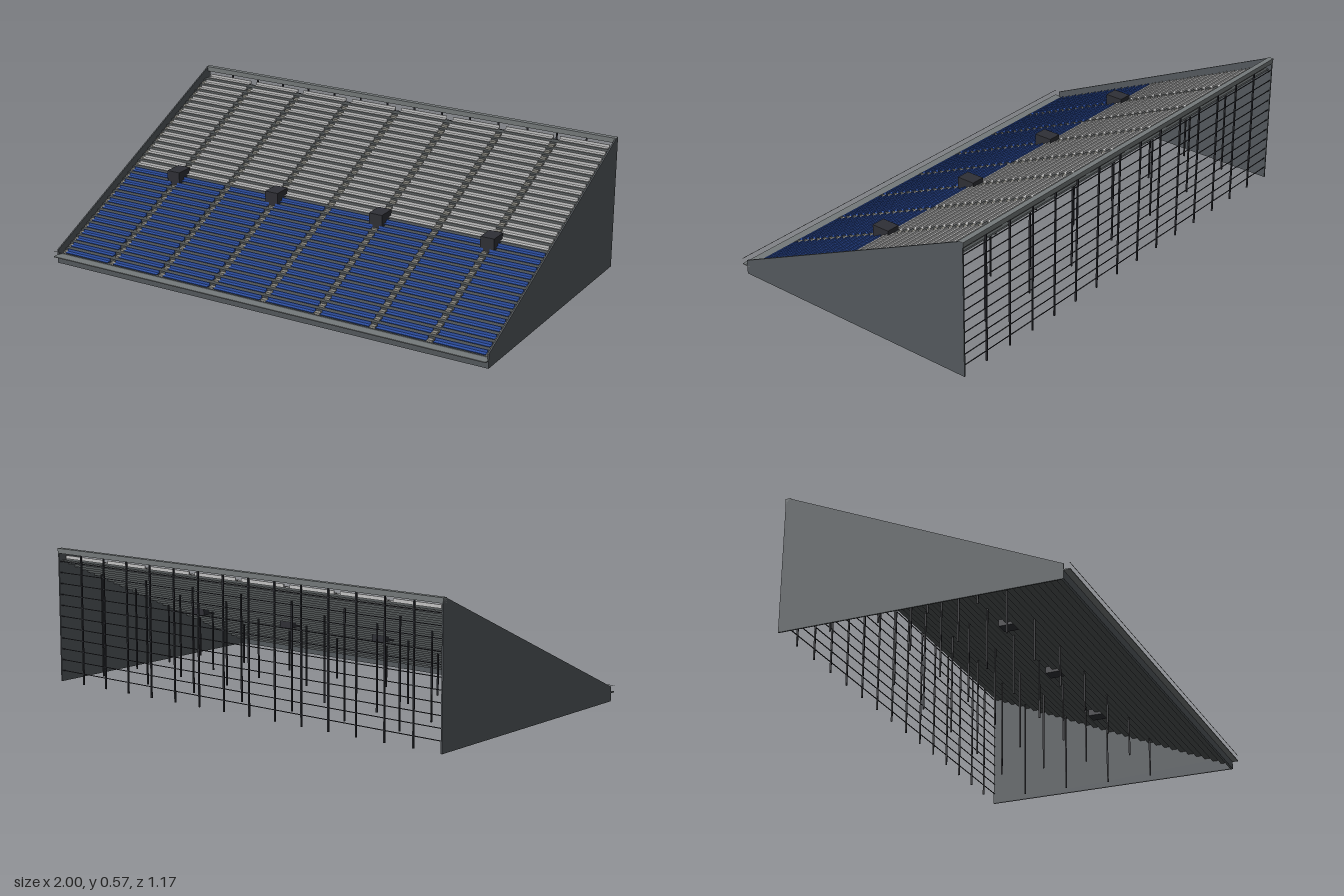
import * as THREE from 'three';
import { mergeGeometries } from 'three/addons/utils/BufferGeometryUtils.js';

const mat = (name, color) => Object.assign(new THREE.MeshStandardMaterial({ color }), { name });

export function createModel() {
  const model = new THREE.Group();
  model.name = 'grandstand';
  const wallGrey = mat('wall grey', 0x54595d);
  const deckGrey = mat('deck grey', 0x4f5354);
  const stepGrey = mat('step grey', 0x8c8a82);
  const trimGrey = mat('trim grey', 0x74797a);
  const seatBlue = mat('seat blue', 0x2f52a8);
  const seatLight = mat('seat light grey', 0xc4c4c4);
  const dark = mat('dark charcoal', 0x2f3036);

  const ROWS = 30, DEPTH = 0.0372, RISE = 0.0166, Z0 = 0.55, Y0 = 0.035;
  const BLUE_ROWS = 14;

  // Box from min and max corners
  const box = (x0, x1, y0, y1, z0, z1) =>
    new THREE.BoxGeometry(x1 - x0, y1 - y0, z1 - z0)
      .translate((x0 + x1) / 2, (y0 + y1) / 2, (z0 + z1) / 2);
  const add = (name, geometries, material) => {
    const mesh = new THREE.Mesh(mergeGeometries(geometries), material);
    mesh.name = name;
    model.add(mesh);
  };
  // Profile given as [z, y] points, extruded along x
  const extrudeX = (points, x0, x1) => {
    const shape = new THREE.Shape(points.map(([z, y]) => new THREE.Vector2(-z, y)));
    return new THREE.ExtrudeGeometry(shape, { depth: x1 - x0, bevelEnabled: false })
      .rotateY(Math.PI / 2).translate(x0, 0, 0);
  };

  // Stepped deck, a thin folded slab
  const top = [], under = [];
  for (let i = 0; i < ROWS; i++) {
    const z = Z0 - i * DEPTH, y = Y0 + i * RISE;
    top.push([z, y], [z - DEPTH, y]);
    under.push([z - 0.004, y - 0.004], [z - DEPTH - 0.004, y - 0.004]);
  }
  add('steppedDeck', [extrudeX([...top, ...under.reverse()], -0.994, 0.994)], deckGrey);

  // Sloping side walls
  const side = [[0.56, 0], [0.56, 0.06], [-0.565, 0.565], [-0.583, 0.565], [-0.583, 0]];
  add('sideWalls', [extrudeX(side, -1, -0.994), extrudeX(side, 0.994, 1)], wallGrey);

  // Seat rows: pan and backrest in eight blocks
  const seats = { blue: [], light: [] };
  const steps = [];
  for (let i = 0; i < ROWS; i++) {
    const z = Z0 - i * DEPTH, y = Y0 + i * RISE;
    const list = i < BLUE_ROWS ? seats.blue : seats.light;
    for (let s = 0; s < 8; s++) {
      const x = -0.866 + s * 0.2475, w = 0.109;
      list.push(box(x - w, x + w, y + 0.006, y + 0.009, z - 0.029, z - 0.01));
      list.push(box(x - w, x + w, y + 0.006, y + 0.02, z - 0.032, z - 0.028));
    }
    // Half steps in the aisles
    if (i < ROWS - 1) {
      for (let a = 0; a < 9; a++) {
        const x = -0.982 + a * 0.2455;
        const w = a % 8 ? 0.013 : 0.009;
        steps.push(box(x - w, x + w, y, y + RISE / 2, z - DEPTH, z - DEPTH / 2));
      }
    }
  }
  add('lowerSeats', seats.blue, seatBlue);
  add('upperSeats', seats.light, seatLight);
  add('aisleSteps', steps, stepGrey);

  // Front wall, ledge and thin rail
  add('frontWall', [box(-0.994, 0.994, 0, 0.034, 0.55, 0.56)], wallGrey);
  add('frontLedge', [box(-1, 1, 0.033, 0.037, 0.548, 0.585)], trimGrey);
  add('frontRail', [box(-1, 1, 0.0595, 0.061, 0.583, 0.5845)], trimGrey);

  // Parapet along the top of the back
  add('backParapet', [box(-1, 1, 0.546, 0.567, -0.585, -0.562)], trimGrey);

  // Entrance hatches
  add('entranceHatches', [-0.745, -0.25, 0.245, 0.745].map((x) =>
    box(x - 0.03, x + 0.03, 0.235, 0.301, -0.005, 0.075)), dark);

  // Open lattice across the back
  const lattice = [];
  for (let i = 1; i <= 14; i++) {
    const x = -1 + i * 2 / 15;
    lattice.push(box(x - 0.003, x + 0.003, 0, 0.546, -0.58, -0.574));
  }
  for (let i = 1; i <= 11; i++) {
    const y = i * 0.0465;
    lattice.push(box(-0.994, 0.994, y - 0.0015, y + 0.0015, -0.58, -0.577));
  }
  add('backLattice', lattice, dark);

  // Thin columns under the deck
  const columns = [];
  for (const z of [-0.4, -0.2, 0, 0.2]) {
    const h = Y0 + Math.floor((Z0 - z) / DEPTH) * RISE - 0.01;
    for (let i = 0; i < 8; i++) {
      const x = -0.9333 + i * 0.26666;
      columns.push(box(x - 0.003, x + 0.003, 0, h, z - 0.003, z + 0.003));
    }
  }
  add('deckColumns', columns, dark);

  return model;
}
